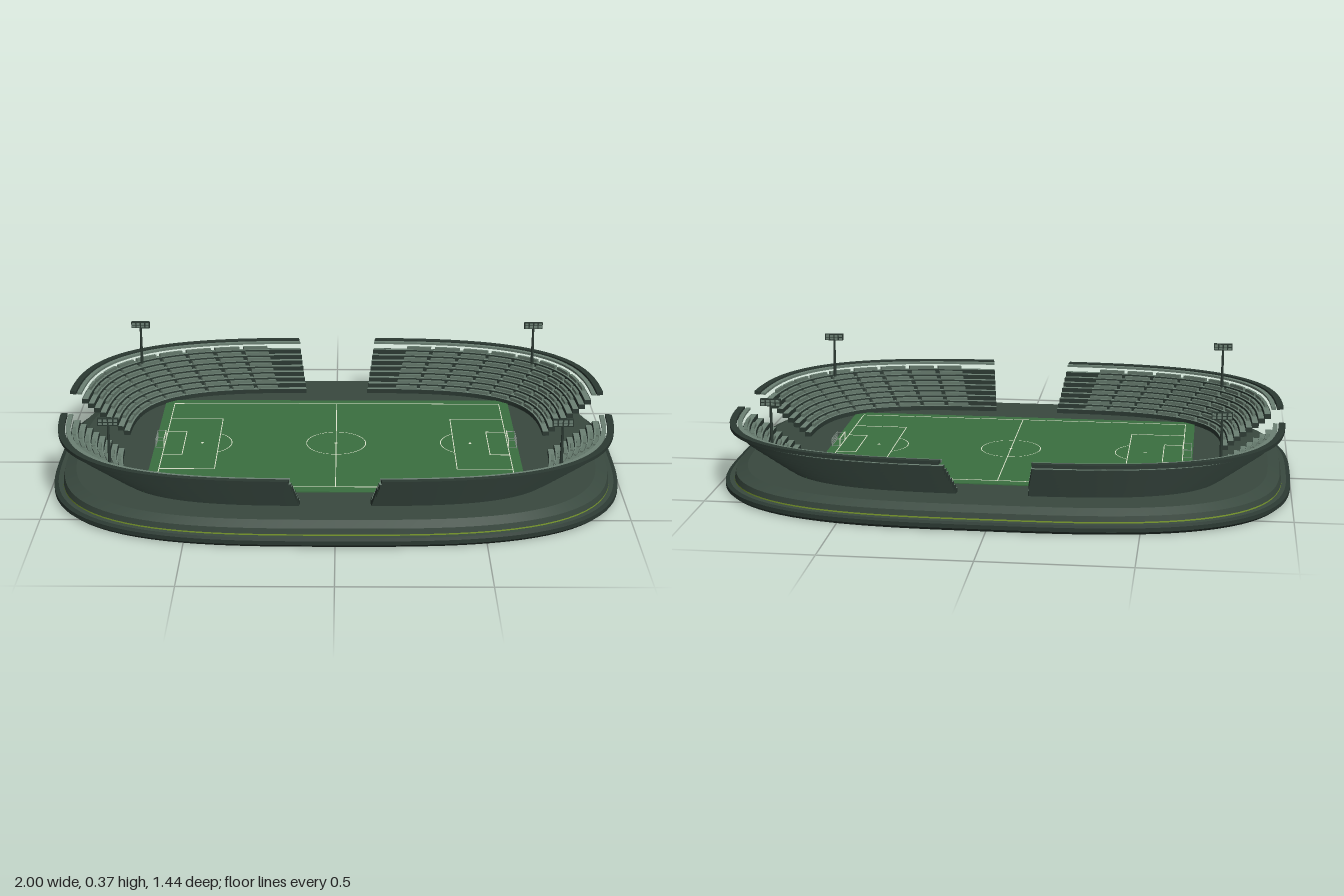
import * as THREE from 'three';
import { mergeGeometries } from 'three/addons/utils/BufferGeometryUtils.js';

const mat = (name, color) => {
  const m = new THREE.MeshStandardMaterial({ color });
  m.name = name;
  return m;
};

// Point on a rounded-oval outline with half-axes a (x) and b (z); inner outlines have squarer corners.
function oval(a, b, y, phi) {
  const c = Math.cos(phi), s = Math.sin(phi), n = 3.1 + (1 - a) * 1.6;
  const r = 1 / Math.pow(Math.abs(c) ** n + Math.abs(s) ** n, 1 / n);
  return [a * r * c, y, b * r * s];
}

// Sweep a profile of [a, b, y] points along the oval; smooth along it, creased across it.
function sweep(profile, from = 0, to = Math.PI * 2, steps = 128, closed = false) {
  const pos = [], idx = [];
  const count = profile.length - (closed ? 0 : 1);
  for (let i = 0; i < count; i++) {
    const p = profile[i], q = profile[(i + 1) % profile.length], start = pos.length / 3;
    for (let j = 0; j <= steps; j++) {
      const phi = from + (to - from) * j / steps;
      pos.push(...oval(...p, phi), ...oval(...q, phi));
      const k = start + j * 2;
      if (j < steps) idx.push(k, k + 1, k + 2, k + 1, k + 3, k + 2);
    }
  }
  // End caps of a closed, convex profile
  if (closed) {
    [from, to].forEach((phi, e) => {
      const start = pos.length / 3;
      profile.forEach(p => pos.push(...oval(...p, phi)));
      for (let i = 1; i < profile.length - 1; i++) {
        idx.push(start, start + (e ? i : i + 1), start + (e ? i + 1 : i));
      }
    });
  }
  const g = new THREE.BufferGeometry();
  g.setAttribute('position', new THREE.Float32BufferAttribute(pos, 3));
  g.setIndex(idx);
  g.computeVertexNormals();
  return g;
}

// Rectangular section for a curved bar
const section = (a0, b0, a1, b1, y0, y1) => [[a0, b0, y0], [a1, b1, y0], [a1, b1, y1], [a0, b0, y1]];

const box = (w, h, d, x, y, z) => new THREE.BoxGeometry(w, h, d).translate(x, y, z);

export function createModel() {
  const model = new THREE.Group();
  model.name = 'stadium';
  const ground = mat('slate green', 0x39493f);
  const dark = mat('dark slate', 0x2b3932);
  const tread = mat('pale sage', 0x6c8174);
  const seat = mat('grey sage', 0x64786b);
  const grass = mat('grass green', 0x3a6f40);
  const white = mat('line cream', 0xdfe6cf);
  const lime = mat('lime', 0x7d9e2e);
  const lamp = mat('lamp grey', 0x8b998f);

  const add = (name, geometry, material) => {
    const mesh = new THREE.Mesh(Array.isArray(geometry) ? mergeGeometries(geometry) : geometry, material);
    mesh.name = name;
    model.add(mesh);
  };

  // Stepped plinth, hollow underneath up to the floor slab
  add('floorUnderside', sweep([[0, 0, 0.068], [0.92, 0.652, 0.068]]), dark);
  add('baseInnerWall', sweep([[0.92, 0.652, 0.068], [0.95, 0.677, 0.052], [0.955, 0.682, 0]]), ground);
  add('baseSkirt', sweep([[0.955, 0.682, 0], [0.988, 0.71, 0], [1, 0.72, 0.01], [1, 0.72, 0.024],
    [0.985, 0.708, 0.03]]), dark);
  add('baseTerrace', sweep([[0.985, 0.708, 0.03], [0.967, 0.693, 0.032], [0.962, 0.69, 0.056],
    [0.92, 0.66, 0.074], [0, 0, 0.074]]), ground);
  add('baseStripe', sweep([[0.97, 0.696, 0.033], [0.97, 0.696, 0.038]]), lime);

  // Terraces of the four corner stands, split by gaps in the middle of each side
  const rows = [], treads = [], seats = [], rims = [], rails = [], footings = [];
  const gap = 0.155, rowCount = 8, blocks = 9, top = 0.235;
  for (let quarter = 0; quarter < 4; quarter++) {
    const from = quarter * Math.PI / 2 + gap, to = (quarter + 1) * Math.PI / 2 - gap;
    for (let k = 0; k < rowCount; k++) {
      const a = 0.757 + 0.0215 * k, b = 0.527 + 0.0188 * k, y = 0.073 + 0.0166 * k, h = y + 0.0168;
      rows.push(sweep(section(a, b, a + 0.024, b + 0.022, y, h), from, to, 28, true));
      treads.push(sweep([[a + 0.0215, b + 0.0188, h + 0.0008], [a + 0.001, b + 0.001, h + 0.0008]], from, to, 28));
      // Seat blocks with aisles between them
      const s0 = from + 0.13, span = (to - from - 0.26) / blocks;
      for (let i = 0; i < blocks; i++) {
        seats.push(sweep(section(a + 0.007, b + 0.006, a + 0.018, b + 0.016, h, h + 0.0125),
          s0 + span * (i + 0.08), s0 + span * (i + 0.92), 4, true));
      }
    }
    // Footing of the lowest row, showing through the floor slab
    footings.push(sweep(section(0.757, 0.527, 0.763, 0.533, 0.067, 0.073), from, to, 28, true));
    // Rim ring and the pale rail inside it
    rims.push(sweep(section(0.952, 0.699, 0.975, 0.72, top - 0.012, top), from, to, 32, true));
    rails.push(sweep(section(0.932, 0.68, 0.948, 0.695, top - 0.012, top - 0.004), from, to, 32, true));
  }
  add('standRows', rows, dark);
  add('standTreads', treads, tread);
  add('seatBlocks', seats, seat);
  add('standFootings', footings, tread);
  add('rimRing', rims, dark);
  add('rimRail', rails, tread);

  // Pitch and its markings
  add('pitch', box(1.31, 0.004, 0.875, 0, 0.075, 0), grass);
  const lineY = 0.0778, lw = 0.003, lines = [];
  const lineX = (x0, x1, z) => lines.push(box(Math.abs(x1 - x0), 0.001, lw, (x0 + x1) / 2, lineY, z));
  const lineZ = (z0, z1, x) => lines.push(box(lw, 0.001, z1 - z0, x, lineY, (z0 + z1) / 2));
  const arc = (x, r, start, length) => lines.push(
    new THREE.RingGeometry(r - lw / 2, r + lw / 2, 48, 1, start, length).rotateX(-Math.PI / 2).translate(x, lineY, 0));
  const spot = x => lines.push(new THREE.CircleGeometry(0.006, 12).rotateX(-Math.PI / 2).translate(x, lineY, 0));
  for (const s of [-1, 1]) {
    lineX(-0.62, 0.62, s * 0.398);
    lineZ(-0.398, 0.398, s * 0.62);
    lineZ(-0.24, 0.24, s * 0.425);
    lineZ(-0.11, 0.11, s * 0.55);
    for (const t of [-1, 1]) {
      lineX(s * 0.425, s * 0.62, t * 0.24);
      lineX(s * 0.55, s * 0.62, t * 0.11);
    }
    arc(s * 0.485, 0.107, (s > 0 ? Math.PI : 0) - 0.975, 1.95);
    spot(s * 0.485);
  }
  lineZ(-0.398, 0.398, 0);
  arc(0, 0.107, 0, Math.PI * 2);
  spot(0);
  add('pitchMarkings', lines, white);

  // Goals: posts, crossbar and an open net grid
  const goals = [], nets = [];
  for (const s of [-1, 1]) {
    for (const z of [-0.045, 0.045]) {
      goals.push(box(0.003, 0.031, 0.003, s * 0.62, 0.092, z));
      for (const y of [0.079, 0.106]) nets.push(box(0.03, 0.0015, 0.0015, s * 0.635, y, z));
    }
    goals.push(box(0.003, 0.003, 0.093, s * 0.62, 0.107, 0));
    for (let i = 0; i <= 6; i++) nets.push(box(0.0015, 0.03, 0.0015, s * 0.65, 0.092, -0.045 + 0.015 * i));
    for (let i = 0; i <= 3; i++) nets.push(box(0.0015, 0.0015, 0.09, s * 0.65, 0.079 + 0.009 * i, 0));
  }
  add('goalFrames', goals, white);
  add('goalNets', nets, lamp);

  // Floodlight masts standing on the upper rows, with lamps on both faces of the head
  const masts = [], heads = [], lamps = [];
  for (const sx of [-1, 1]) for (const sz of [-1, 1]) {
    const x = sx * 0.753, z = sz * 0.508;
    masts.push(new THREE.CylinderGeometry(0.004, 0.006, 0.165, 10).translate(x, 0.2725, z));
    heads.push(box(0.07, 0.025, 0.011, x, 0.359, z));
    for (let i = 0; i < 4; i++) for (let j = 0; j < 2; j++) {
      lamps.push(box(0.012, 0.008, 0.014, x - 0.0255 + 0.017 * i, 0.3535 + 0.011 * j, z));
    }
  }
  add('floodlightMasts', masts, dark);
  add('floodlightHeads', heads, dark);
  add('floodlightLamps', lamps, tread);
  return model;
}
